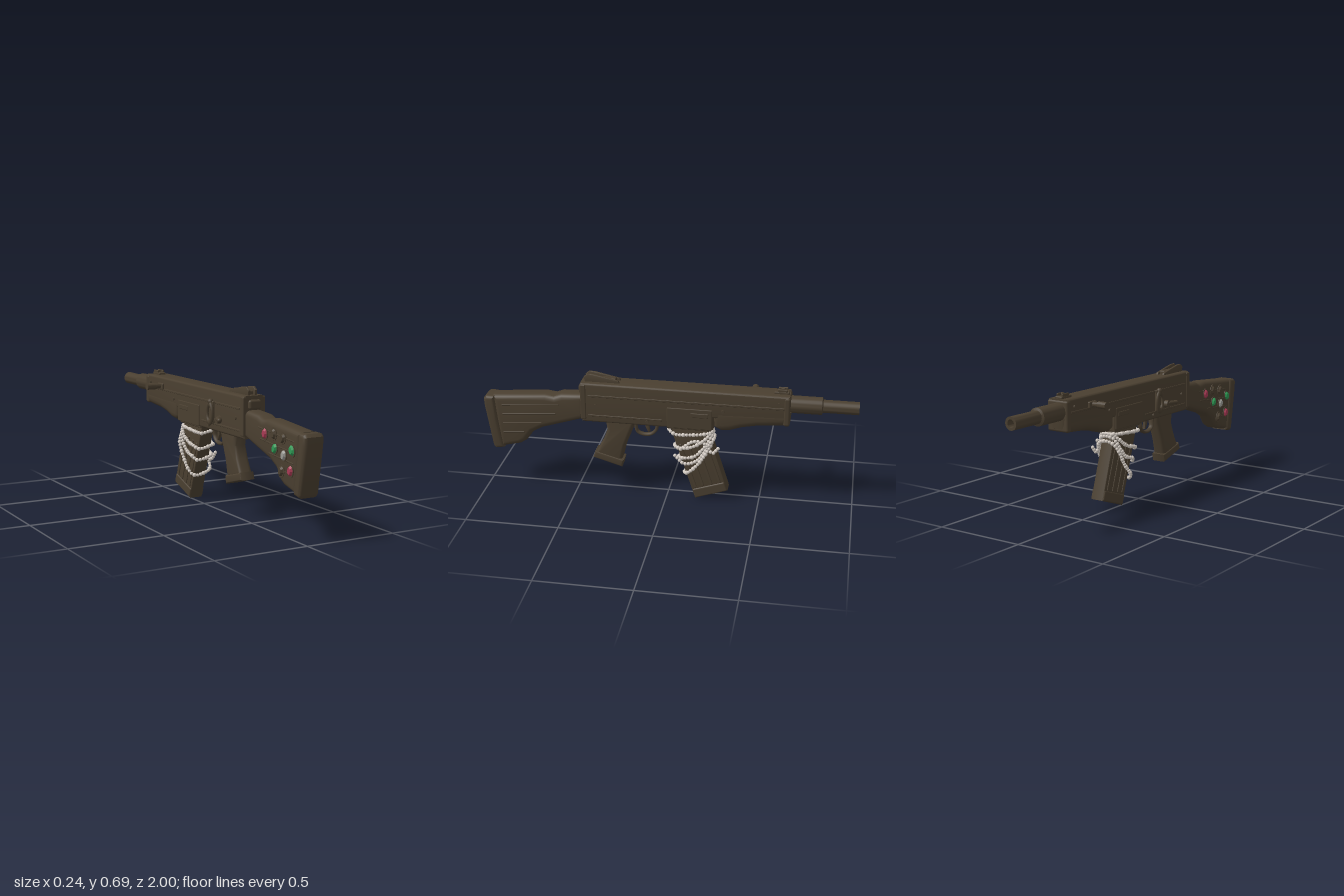
import * as THREE from 'three';
import { mergeGeometries, toCreasedNormals } from 'three/addons/utils/BufferGeometryUtils.js';
import { RoundedBoxGeometry } from 'three/addons/geometries/RoundedBoxGeometry.js';

const paint = (name, color) => {
  const m = new THREE.MeshStandardMaterial({ color });
  m.name = name;
  return m;
};

export function createModel() {
  const brown = paint('darkBrown', 0x4a3f30);
  const pearl = paint('pearlWhite', 0xcfc7bf);
  const red = paint('gemRed', 0xa83a54);
  const green = paint('gemGreen', 0x2f9a55);
  const grey = paint('gemGrey', 0x9a9a94);

  const model = new THREE.Group();
  model.name = 'rifle';
  const gun = new THREE.Group(); // everything is built around x = 0, then shifted
  gun.name = 'rifleBody';
  gun.position.x = 0.033;
  model.add(gun);

  const add = (name, geo, x = 0, y = 0, z = 0, mat = brown) => {
    const m = new THREE.Mesh(geo, mat);
    m.name = name;
    m.position.set(x, y, z);
    gun.add(m);
    return m;
  };
  // side outline given as [z, y], extruded across x with rounded edges
  const slab = (name, pts, width, bevel, x = 0) => {
    const shape = new THREE.Shape(pts.map(([z, y]) => new THREE.Vector2(z, y)));
    const geo = new THREE.ExtrudeGeometry(shape, {
      depth: width - 2 * bevel, bevelEnabled: true, bevelSize: bevel,
      bevelThickness: bevel, bevelOffset: -bevel, bevelSegments: 4,
    });
    geo.translate(0, 0, -(width - 2 * bevel) / 2).rotateY(-Math.PI / 2);
    return add(name, toCreasedNormals(geo, 0.6), x);
  };
  const box = (name, w, h, d, x, y, z, r = 0.006, tilt = 0) => {
    const m = add(name, new RoundedBoxGeometry(w, h, d, 2, Math.min(r, w / 2.1, h / 2.1, d / 2.1)), x, y, z);
    m.rotation.x = tilt;
    return m;
  };

  // receiver and its covers
  slab('receiver', [[0.455, 0.43], [0.46, 0.65], [-0.645, 0.65], [-0.645, 0.51], [-0.25, 0.5], [-0.25, 0.43]], 0.122, 0.013);
  box('rearCollar', 0.132, 0.2, 0.03, 0, 0.545, 0.445);
  box('rearPlate', 0.072, 0.05, 0.03, 0, 0.605, 0.46, 0.012);
  box('frontCollar', 0.128, 0.16, 0.035, 0, 0.565, -0.632, 0.012);
  for (const s of [-1, 1]) {
    box('coverRail', 0.006, 0.012, 1.04, s * 0.061, 0.582, -0.1, 0.003);
    box('magazineWellPanel', 0.01, 0.115, 0.24, s * 0.06, 0.49, -0.125, 0.004);
    box('ejectionPort', 0.008, 0.025, 0.095, s * 0.064, 0.513, -0.178, 0.004);
    box('sideSeam', 0.006, 0.01, 0.4, s * 0.061, 0.47, 0.22, 0.003);
    for (const [z, y] of [[0.38, 0.53], [0.1, 0.455], [-0.59, 0.61], [-0.3, 0.545]]) {
      const pin = add('pin', new THREE.CylinderGeometry(0.009, 0.009, 0.01, 14), s * 0.062, y, z);
      pin.rotation.z = Math.PI / 2;
    }
  }

  // rounded lower handguard
  slab('handguard', [[-0.245, 0.55], [-0.255, 0.445], [-0.29, 0.428], [-0.34, 0.432], [-0.4, 0.452],
    [-0.48, 0.468], [-0.62, 0.48], [-0.65, 0.5], [-0.655, 0.56]], 0.124, 0.035);

  // barrel with open bore
  const profile = [[0.03, 0.6], [0.046, 0.6], [0.046, 0.81], [0.034, 0.815], [0.034, 1], [0.02, 1], [0.02, 0.93], [0, 0.93]];
  const barrel = new THREE.LatheGeometry(profile.map(([r, y]) => new THREE.Vector2(r, y)), 28);
  add('barrel', toCreasedNormals(barrel.rotateX(-Math.PI / 2), 0.6), -0.005, 0.587, 0);

  // sights
  for (const s of [-1, 1]) {
    slab('rearSightWing', [[0.44, 0.64], [0.445, 0.675], [0.425, 0.692], [0.39, 0.69], [0.26, 0.662], [0.25, 0.64]], 0.014, 0.004, s * 0.02);
    box('frontSightEar', 0.01, 0.035, 0.05, s * 0.016, 0.657, -0.605, 0.004);
  }
  box('rearSightBase', 0.034, 0.035, 0.15, 0, 0.653, 0.35);
  box('frontSightBase', 0.045, 0.02, 0.08, 0, 0.652, -0.6);
  box('frontSightPost', 0.012, 0.035, 0.02, 0, 0.659, -0.605, 0.004);

  // shoulder stock
  slab('stock', [[0.44, 0.578], [0.57, 0.57], [0.61, 0.555], [0.66, 0.562], [0.95, 0.538], [0.94, 0.4],
    [0.92, 0.232], [0.81, 0.258], [0.775, 0.28], [0.735, 0.335], [0.68, 0.365], [0.44, 0.44]], 0.104, 0.03);
  slab('buttPad', [[0.94, 0.536], [0.985, 0.535], [1, 0.52], [0.998, 0.48], [0.962, 0.24], [0.95, 0.223], [0.9, 0.232], [0.925, 0.4]], 0.114, 0.02);
  for (const s of [-1, 1]) {
    for (const [y, z, d] of [[0.5, 0.74, 0.32], [0.445, 0.75, 0.3], [0.39, 0.79, 0.22], [0.33, 0.84, 0.12]]) {
      box('stockRidge', 0.006, 0.008, d, s * 0.051, y, z, 0.003, 0.08);
    }
  }

  // pistol grip
  slab('pistolGrip', [[0.335, 0.45], [0.325, 0.375], [0.35, 0.31], [0.39, 0.235], [0.25, 0.19], [0.225, 0.29], [0.185, 0.39], [0.17, 0.45]], 0.076, 0.02);
  slab('gripBase', [[0.392, 0.248], [0.405, 0.208], [0.245, 0.162], [0.235, 0.205]], 0.084, 0.01);

  // trigger and guard
  const guardPath = new THREE.CatmullRomCurve3([[0.43, 0.055], [0.385, 0.062], [0.358, 0.09], [0.354, 0.135], [0.37, 0.165], [0.43, 0.175]]
    .map(([y, z]) => new THREE.Vector3(0, y, z)));
  add('triggerGuard', new THREE.TubeGeometry(guardPath, 24, 0.009, 8)).scale.x = 1.7;
  slab('trigger', [[0.125, 0.44], [0.12, 0.4], [0.105, 0.37], [0.095, 0.372], [0.1, 0.4], [0.1, 0.44]], 0.018, 0.003);

  // tilted magazine with ribs
  const tilt = 0.326;
  slab('magazine', [[-0.01, 0.45], [-0.157, 0.005], [-0.333, 0.067], [-0.21, 0.45]], 0.076, 0.006);
  box('magazineFloor', 0.085, 0.055, 0.184, 0, 0.063, -0.236, 0.008, tilt);
  for (const s of [-1, 1]) {
    for (const o of [-0.065, -0.02, 0.025, 0.065]) {
      box('magazineRib', 0.009, 0.27, 0.014, s * 0.038, 0.22 - o * 0.3, -0.182 + o, 0.004, tilt);
    }
  }
  box('magazineCollar', 0.104, 0.03, 0.24, 0, 0.435, -0.122);

  // charging handle on the right side
  const handle = (name, r, len, x) => {
    add(name, toCreasedNormals(new THREE.CylinderGeometry(r, r, len, 20), 0.6), x, 0.602, -0.45).rotation.z = Math.PI / 2;
  };
  handle('chargingKnob', 0.0185, 0.05, -0.13);
  handle('chargingShaft', 0.014, 0.06, -0.08);
  box('chargingSlide', 0.018, 0.035, 0.06, -0.064, 0.6, -0.45);

  // controls on the right side
  box('catchPlate', 0.014, 0.12, 0.05, -0.066, 0.53, 0.14, 0.006);
  const loop = add('catchLoop', new THREE.TorusGeometry(0.026, 0.009, 8, 24), -0.078, 0.525, 0.14);
  loop.rotation.y = Math.PI / 2;
  loop.scale.y = 1.9;
  add('catchButton', new THREE.SphereGeometry(0.016, 14, 10), -0.074, 0.585, 0.14);
  add('selectorHub', new THREE.CylinderGeometry(0.02, 0.02, 0.03, 18), -0.07, 0.5, 0.22).rotation.z = Math.PI / 2;
  const lever = add('selectorLever', new THREE.CapsuleGeometry(0.011, 0.05, 6, 12), -0.088, 0.505, 0.25);
  lever.rotation.set(Math.PI / 2, 0, 0.35);

  // faceted gems set in the stock
  const gems = [[0.65, 0.49, red, 0], [0.74, 0.43, green, 0.4], [0.82, 0.41, grey, 0.2], [0.89, 0.445, green, -0.3], [0.88, 0.345, red, 0.1],
    [0.73, 0.5, brown, 0], [0.81, 0.49, brown, 0.5], [0.8, 0.33, brown, 0.3]];
  for (const [z, y, mat, turn] of gems) {
    const geo = new THREE.CylinderGeometry(0.014, 0.024, 0.014, 8).toNonIndexed();
    geo.computeVertexNormals();
    geo.rotateZ(Math.PI / 2).scale(1, 1.25, 0.9).rotateX(turn);
    add('gem', geo, -0.059, y, z, mat);
    const setting = new THREE.CylinderGeometry(0.028, 0.028, 0.008, 12);
    setting.rotateZ(Math.PI / 2).scale(1, 1.2, 0.9).rotateX(turn);
    add('gemSetting', setting, -0.052, y, z);
  }

  // bead strands draped from the magazine's front edge: rear height, front height, sag, outward reach
  const strands = [[0.39, 0.405, 0, 0.056], [0.3, 0.4, 0.02, 0.062], [0.235, 0.385, 0.035, 0.062], [0.145, 0.36, 0.02, 0.07]];
  strands.forEach(([rear, front, sag, reach], i) => {
    const edge = (y, back) => (back ? -0.015 : -0.215) - (0.43 - y) * (back ? 0.338 : 0.31) + (back ? 0.012 : -0.012);
    const zr = edge(rear, true), zf = edge(front, false);
    const at = (x, t, dip) => new THREE.Vector3(x, rear + (front - rear) * t - dip, zr + (zf - zr) * t);
    const path = new THREE.CatmullRomCurve3([
      at(-0.04, 0, 0), at(0.04, 0, -0.015), at(reach, 0.15, 0), at(reach + 0.008, 0.5, sag), at(reach, 0.85, sag * 0.6),
      at(0.035, 1, 0), at(-0.035, 1, 0), at(-reach + 0.006, 0.85, sag * 0.6), at(-reach + 0.004, 0.5, sag), at(-reach + 0.006, 0.12, 0),
    ], true);
    const count = Math.round(path.getLength() / 0.0185);
    const beads = path.getSpacedPoints(count).slice(0, count).map((p, k) =>
      new THREE.SphereGeometry(k % 3 ? 0.0095 : 0.0115, 12, 8).translate(p.x, p.y, p.z));
    add('beadStrand' + (i + 1), mergeGeometries(beads), 0, 0, 0, pearl);
  });

  // short extra swags on the left side
  for (const pts of [[[-0.05, 0.27], [-0.1, 0.225], [-0.17, 0.25], [-0.24, 0.36]], [[-0.08, 0.31], [-0.15, 0.36], [-0.21, 0.35], [-0.25, 0.3], [-0.28, 0.33]]]) {
    const path = new THREE.CatmullRomCurve3(pts.map(([z, y]) => new THREE.Vector3(0.064, y, z)));
    const n = Math.round(path.getLength() / 0.0185);
    const beads = path.getSpacedPoints(n).map((p) => new THREE.SphereGeometry(0.01, 12, 8).translate(p.x, p.y, p.z));
    add('beadSwag', mergeGeometries(beads), 0, 0, 0, pearl);
  }
  return model;
}
